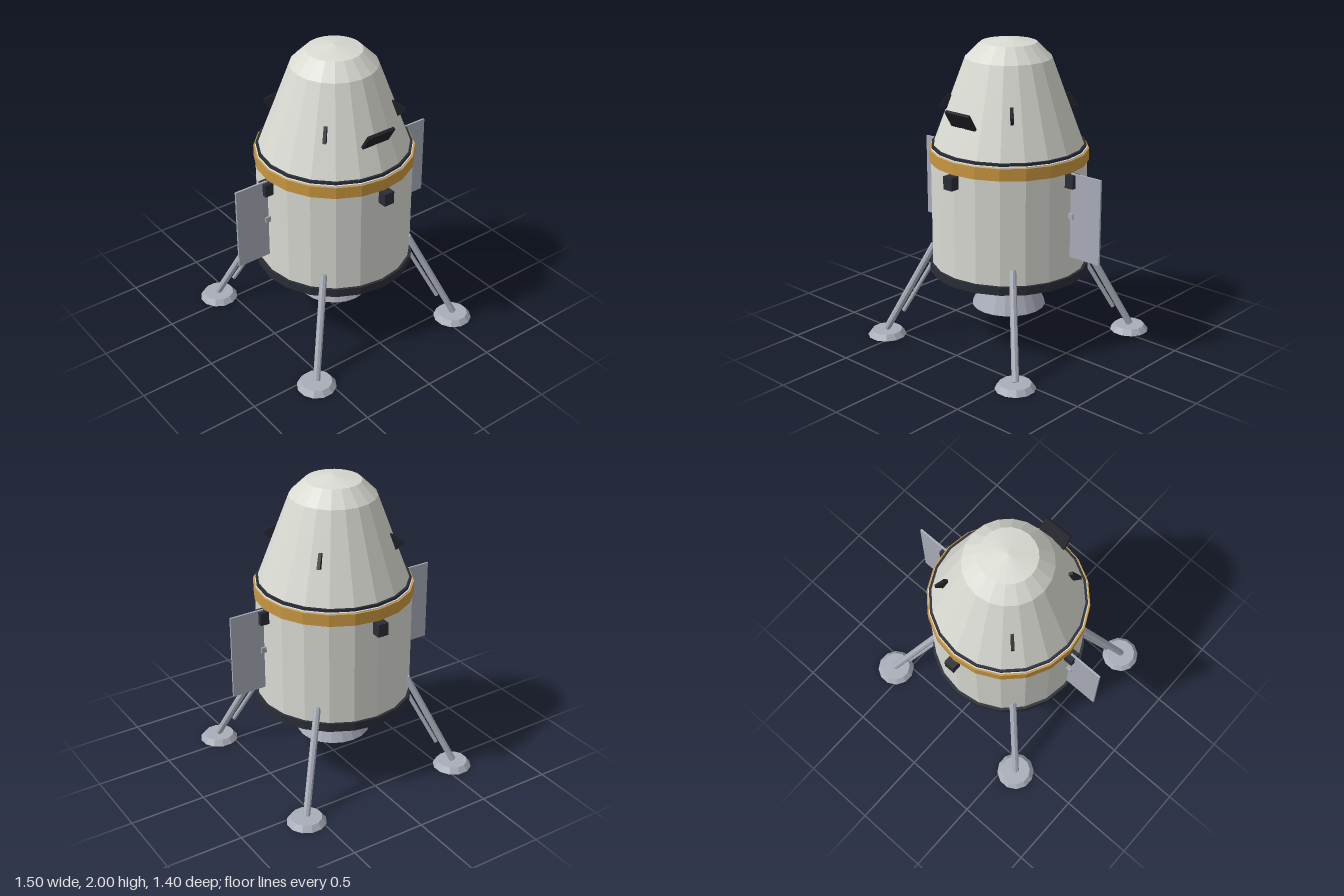
import * as THREE from 'three';

const mat = (name, color, side = THREE.FrontSide) => {
  const m = new THREE.MeshStandardMaterial({ color, side });
  m.name = name;
  return m;
};

export function createModel() {
  const hull = mat('hull white', 0xd9dad2);
  const metal = mat('grey metal', 0xa9adb8, THREE.DoubleSide);
  const dark = mat('dark trim', 0x2b2d36);
  const glass = mat('dark glass', 0x212228);
  const gold = mat('gold foil', 0xc8973f);
  const SIDES = 20;

  const root = new THREE.Group();
  root.name = 'landerCapsule';

  // faceted mesh: every face keeps its own normal
  const add = (name, geometry, material, parent = root) => {
    const g = geometry.index ? geometry.toNonIndexed() : geometry;
    g.computeVertexNormals();
    const mesh = new THREE.Mesh(g, material);
    mesh.name = name;
    parent.add(mesh);
    return mesh;
  };

  // upright drum or cone section between two heights
  const drum = (name, y0, y1, r0, r1, material, open = false, sides = SIDES, parent = root) => {
    const g = new THREE.CylinderGeometry(r1, r0, y1 - y0, sides, 1, open);
    g.translate(0, (y0 + y1) / 2, 0);
    return add(name, g, material, parent);
  };

  // rod between two points
  const rod = (name, a, b, r, parent) => {
    const dir = b.clone().sub(a);
    const m = add(name, new THREE.CylinderGeometry(r, r, dir.length(), 8), metal, parent);
    m.position.copy(a).addScaledVector(dir, 0.5);
    m.quaternion.setFromUnitVectors(new THREE.Vector3(0, 1, 0), dir.normalize());
  };

  // service module
  drum('serviceModule', 0.5, 1.305, 0.502, 0.502, hull);
  drum('baseRing', 0.48, 0.535, 0.52, 0.52, dark);
  drum('foilBand', 1.22, 1.297, 0.512, 0.512, gold);
  drum('engineNozzle', 0.215, 0.48, 0.242, 0.13, metal, true);

  // crew capsule
  drum('capsuleSeal', 1.308, 1.325, 0.496, 0.496, dark);
  drum('capsuleCone', 1.32, 1.875, 0.482, 0.275, hull, true);
  drum('capsuleShoulder', 1.875, 1.97, 0.275, 0.178, hull, true);
  drum('capsuleNose', 1.97, 2.0, 0.178, 0, hull, true);

  // front hatch window, leaning outward at the top
  const hatch = add('hatchWindow', new THREE.BoxGeometry(0.2, 0.115, 0.02), glass);
  hatch.position.set(0, 1.547, 0.435);
  hatch.rotation.x = 0.54;

  // side windows: thin radial plates, outlined as (radius, height)
  const leaning = [[0.33, 1.62], [0.385, 1.645], [0.443, 1.56], [0.38, 1.54]];
  const pointed = [[0.34, 1.645], [0.37, 1.637], [0.443, 1.592], [0.443, 1.572], [0.395, 1.537], [0.35, 1.56]];
  for (const sx of [1, -1]) {
    for (const sz of [1, -1]) {
      const outline = (sx === sz ? pointed : leaning).map(([r, y]) => new THREE.Vector2(r, y));
      const g = new THREE.ExtrudeGeometry(new THREE.Shape(outline), { depth: 0.02, bevelEnabled: false });
      g.translate(0, 0, -0.01);
      add('sideWindow', g, glass).rotation.y = -Math.atan2(sz, sx);
    }
  }

  // thruster blocks around the upper body
  for (let i = 0; i < 4; i++) {
    const a = (i * Math.PI) / 2;
    const m = add('thrusterBlock', new THREE.BoxGeometry(0.072, 0.084, 0.072), dark);
    m.position.set(Math.sin(a) * 0.52, 1.174, Math.cos(a) * 0.52);
    m.rotation.y = a;
  }

  // side panels with their hinge brackets
  for (const s of [1, -1]) {
    add('sidePanel', new THREE.BoxGeometry(0.23, 0.55, 0.013), metal).position.set(s * 0.635, 0.95, 0);
    add('panelBracket', new THREE.BoxGeometry(0.036, 0.036, 0.036), metal).position.set(s * 0.528, 0.946, 0);
  }

  // landing legs, built along +x and turned to the diagonals
  for (let i = 0; i < 4; i++) {
    const leg = new THREE.Group();
    leg.name = 'landingLeg';
    leg.rotation.y = Math.PI / 4 + (i * Math.PI) / 2;
    root.add(leg);
    rod('mainStrut', new THREE.Vector3(0.815, 0.04, 0), new THREE.Vector3(0.487, 0.635, 0), 0.023, leg);
    rod('braceStrut', new THREE.Vector3(0.7, 0.165, 0), new THREE.Vector3(0.5, 0.51, 0), 0.014, leg);
    const pad = drum('footPad', 0, 0.036, 0.128, 0.1, metal, false, 12, leg);
    pad.position.x = 0.813;
  }

  return root;
}
